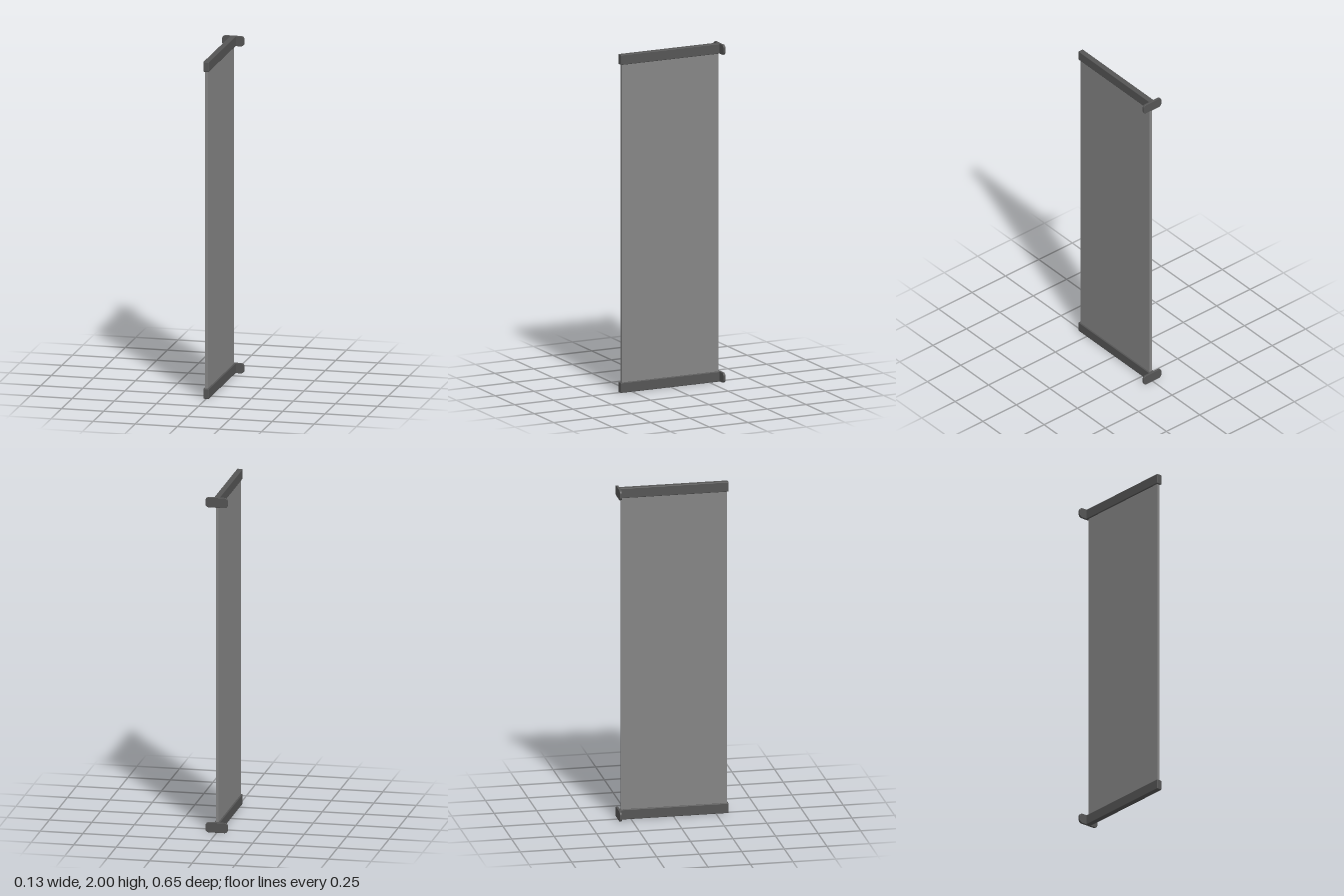
import * as THREE from 'three';
import { RoundedBoxGeometry } from 'three/addons/geometries/RoundedBoxGeometry.js';

const metal = new THREE.MeshStandardMaterial({ color: 0x555555 });
const cloth = new THREE.MeshStandardMaterial({ color: 0x858585 });

const RAIL_HEIGHT = 0.06;

function addMesh(parent, name, geometry, material, x, y, z) {
  const mesh = new THREE.Mesh(geometry, material);
  mesh.name = name;
  mesh.position.set(x, y, z);
  parent.add(mesh);
  return mesh;
}

// Rounded wall plate with softened front and back edges, centred on the origin
function plateGeometry(width, height, depth, radius, bevel) {
  const w = width / 2 - bevel, h = height / 2 - bevel, r = radius - bevel;
  const s = new THREE.Shape();
  s.absarc(w - r, h - r, r, 0, Math.PI / 2);
  s.absarc(-w + r, h - r, r, Math.PI / 2, Math.PI);
  s.absarc(-w + r, -h + r, r, Math.PI, Math.PI * 1.5);
  s.absarc(w - r, -h + r, r, Math.PI * 1.5, Math.PI * 2);
  s.closePath();
  const geometry = new THREE.ExtrudeGeometry(s, {
    depth: depth - 2 * bevel, bevelEnabled: true, bevelThickness: bevel,
    bevelSize: bevel, bevelSegments: 2, curveSegments: 8,
  });
  geometry.translate(0, 0, -depth / 2 + bevel);
  return geometry;
}

export function createModel() {
  const model = new THREE.Group();
  model.name = 'wallBanner';

  // Thin hanging panel, its ends held inside the rails
  addMesh(model, 'bannerPanel', new THREE.BoxGeometry(0.016, 1.92, 0.622), cloth, 0, 1, 0.003);

  // Matching brackets at the top and bottom: rail plus wall plate
  const railGeometry = new RoundedBoxGeometry(0.033, RAIL_HEIGHT, 0.641, 2, 0.004);
  const wallPlate = plateGeometry(0.132, RAIL_HEIGHT, 0.013, 0.02, 0.002);
  for (const [name, y] of [['bottomBracket', RAIL_HEIGHT / 2], ['topBracket', 2 - RAIL_HEIGHT / 2]]) {
    const bracket = new THREE.Group();
    bracket.name = name;
    bracket.position.y = y;
    addMesh(bracket, 'rail', railGeometry, metal, 0, 0, 0.0035);
    addMesh(bracket, 'wallPlate', wallPlate, metal, 0, 0, -0.3195);
    model.add(bracket);
  }

  return model;
}
